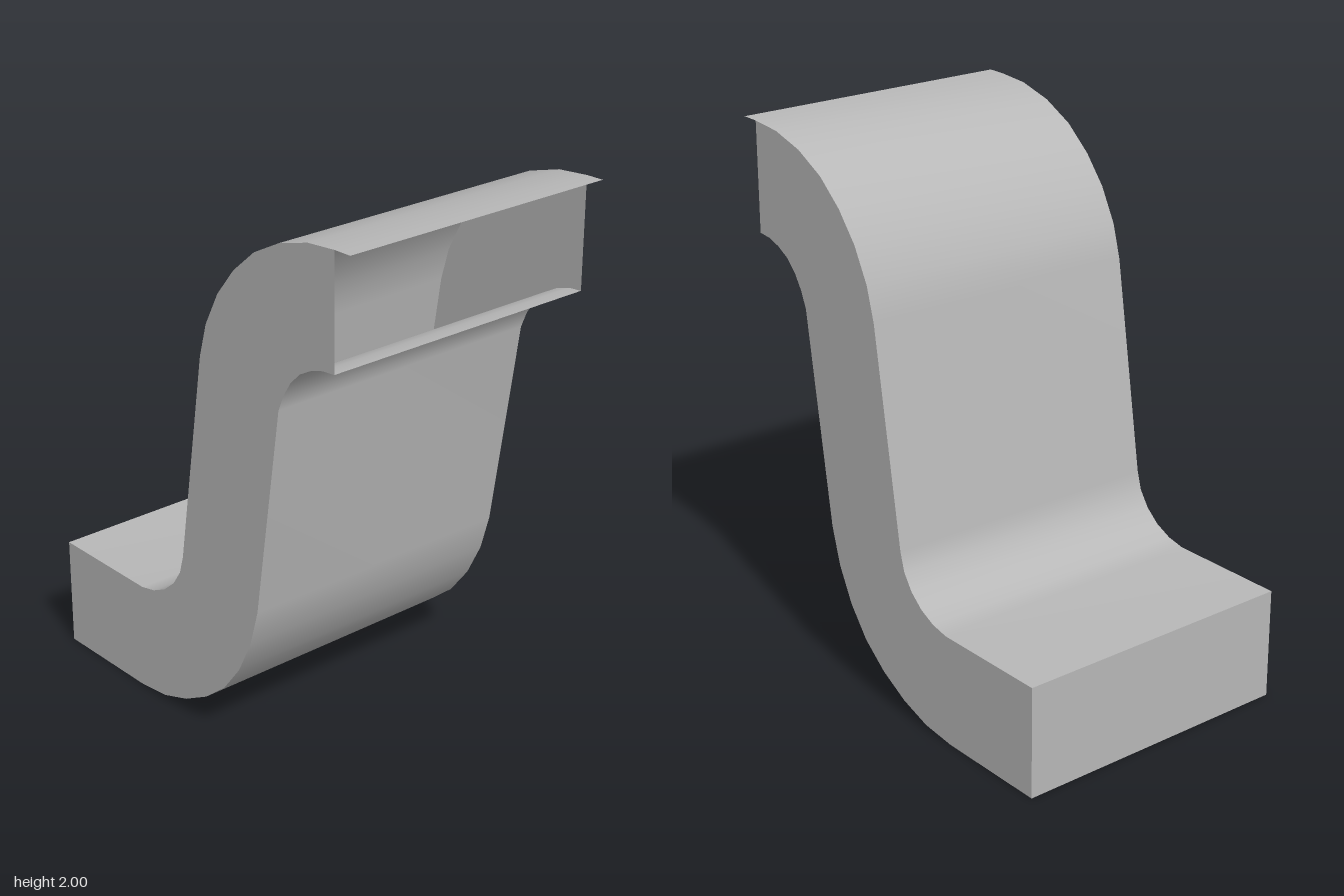
import * as THREE from 'three';

const HALF = 0.55; // half depth along z

// Upper-left outline, from the foot to the top
const upper = [
  [-0.79, 0.417], [-0.33, 0.417], [-0.26, 0.432], [-0.195, 0.463], [-0.14, 0.51],
  [-0.1, 0.57], [-0.08, 0.64], [0.045, 1.44], [0.08, 1.565], [0.145, 1.69],
  [0.23, 1.795], [0.335, 1.885], [0.46, 1.95], [0.595, 1.988], [0.72, 1.999],
];
// Lower-right outline, from the top back to the foot
const lower = [
  [0.72, 1.592], [0.665, 1.587], [0.61, 1.57], [0.555, 1.54], [0.51, 1.495],
  [0.475, 1.44], [0.45, 1.38], [0.33, 0.59], [0.29, 0.45], [0.225, 0.32],
  [0.14, 0.21], [0.035, 0.125], [-0.085, 0.06], [-0.21, 0.018], [-0.35, 0.002], [-0.79, 0],
];

// Sweep an outline along z into a smooth open sheet
function sheet(points) {
  const pos = [], index = [];
  points.forEach(([x, y], i) => {
    pos.push(x, y, HALF, x, y, -HALF);
    if (i < points.length - 1) {
      const a = i * 2;
      index.push(a, a + 2, a + 3, a, a + 3, a + 1);
    }
  });
  const geo = new THREE.BufferGeometry();
  geo.setAttribute('position', new THREE.Float32BufferAttribute(pos, 3));
  geo.setIndex(index);
  geo.computeVertexNormals();
  return geo;
}

export function createModel() {
  const group = new THREE.Group();
  const grey = new THREE.MeshStandardMaterial({ color: 0xb8b8b8, side: THREE.DoubleSide });
  grey.name = 'plain grey';

  const add = (name, geo) => {
    const mesh = new THREE.Mesh(geo, grey);
    mesh.name = name;
    group.add(mesh);
    return mesh;
  };

  // Curved sheets; the upper one overhangs the open end slightly
  add('upperSheet', sheet([...upper, [0.79, 2]]));
  add('lowerSheet', sheet(lower));

  // Closed end of the foot
  add('footEnd', sheet([lower[lower.length - 1], upper[0]]));

  // Flat side walls
  const outline = new THREE.Shape([...upper, ...lower].map(([x, y]) => new THREE.Vector2(x, y)));
  add('frontWall', new THREE.ShapeGeometry(outline)).position.z = HALF;
  const back = new THREE.ShapeGeometry(outline);
  back.index.array.reverse();
  back.computeVertexNormals();
  add('backWall', back).position.z = -HALF;

  return group;
}
